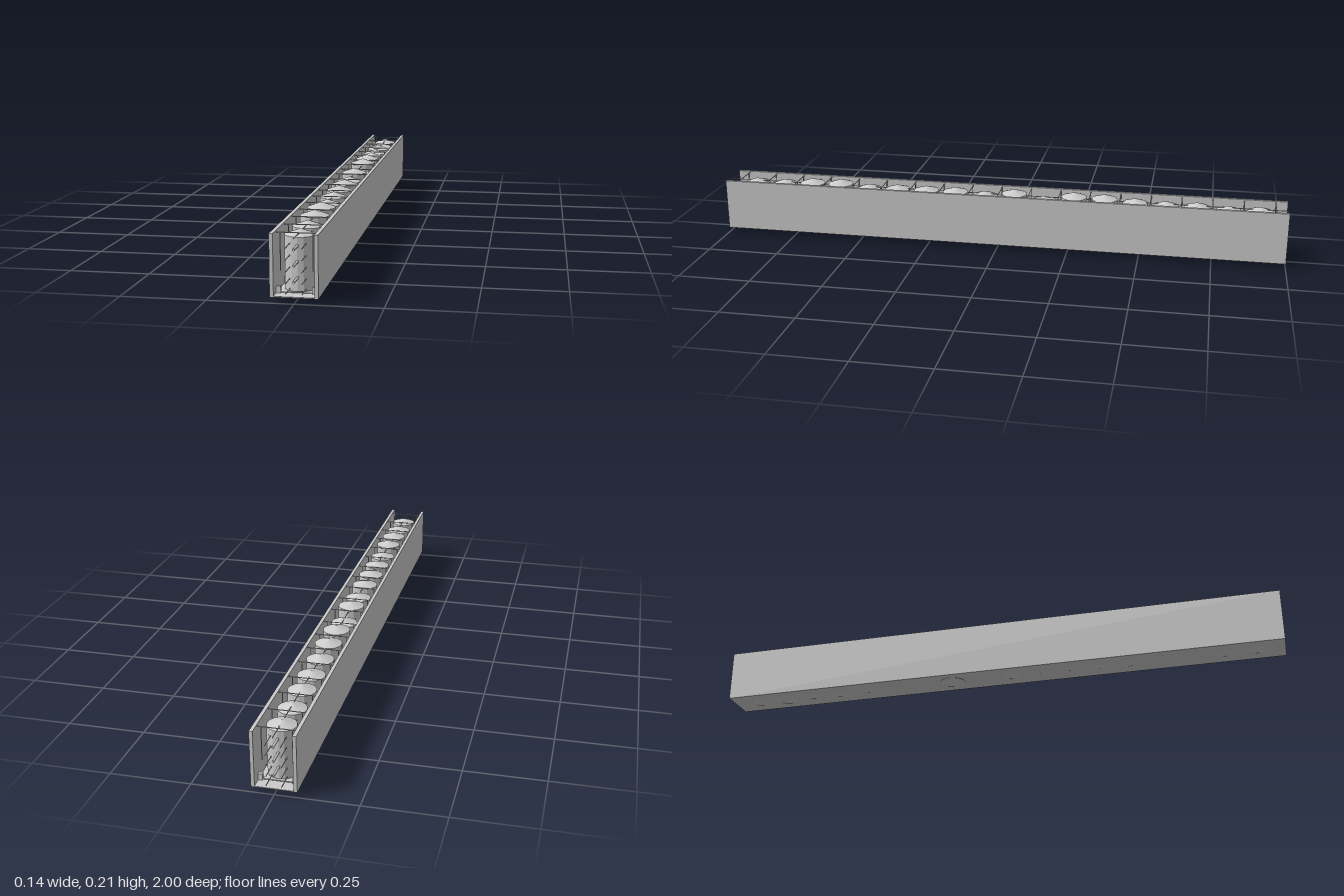
import * as THREE from 'three';

export function createModel() {
  const model = new THREE.Group();
  const mat = new THREE.MeshStandardMaterial({ color: 0xcccccc });
  const flat = new THREE.MeshStandardMaterial({ color: 0xcccccc, flatShading: true });

  function add(name, geometry, x, y, z, material = mat, parent = model) {
    const mesh = new THREE.Mesh(geometry, material);
    mesh.name = name;
    mesh.position.set(x, y, z);
    parent.add(mesh);
    return mesh;
  }

  // Open-ended trough: two side panels and a thin floor
  for (const s of [-1, 1]) {
    add(s > 0 ? 'leftPanel' : 'rightPanel', new THREE.BoxGeometry(0.011, 0.18, 2), s * 0.063, 0.107, 0);
  }
  add('floorPanel', new THREE.BoxGeometry(0.116, 0.003, 2), 0, 0.0185, 0);

  // Row of void drums with conical ends, standing at slightly different heights
  const bottoms = [0.006, 0.007, 0.016, 0.019, 0.007, 0.011, 0.013, 0.014, 0.006,
    0.019, 0, 0.02, 0.019, 0.011, 0.007, 0.009, 0.003, 0.006];
  const length = 0.187, cone = 0.016, radius = 0.045, pitch = 0.1065;
  const profile = [[0, 0], [radius, cone], [radius, length - cone], [0, length]]
    .map(([r, y]) => new THREE.Vector2(r, y));
  const drum = new THREE.LatheGeometry(profile, 16);
  const drums = new THREE.Group();
  drums.name = 'voidDrums';
  model.add(drums);
  bottoms.forEach((y, i) => add('drum', drum, 0, y, 0.905 - i * pitch, flat, drums));

  // Reinforcement cage
  const cage = new THREE.Group();
  cage.name = 'reinforcementCage';
  model.add(cage);

  function bar(name, r, len, axis, x, y, z) {
    const g = new THREE.CylinderGeometry(r, r, len, 8);
    if (axis === 'x') g.rotateZ(Math.PI / 2);
    if (axis === 'z') g.rotateX(Math.PI / 2);
    add(name, g, x, y, z, mat, cage);
  }

  // Lengthwise bars: three thick on the centre line, thin wires either side
  for (const y of [0.062, 0.108, 0.153]) bar('centreBar', 0.004, 2, 'z', 0, y, 0);
  for (const y of [0.028, 0.057, 0.09, 0.124, 0.157]) {
    for (const s of [-1, 1]) bar('sideWire', 0.0015, 2, 'z', s * 0.023, y, 0);
  }
  bar('topWire', 0.0015, 2, 'z', 0, 0.184, 0);

  // Cross ties and hanging legs in the gaps between drums, with low corner spacers
  const spacer = new THREE.BoxGeometry(0.013, 0.02, 0.012);
  for (let i = 0; i <= bottoms.length; i++) {
    const z = 0.905 + pitch / 2 - i * pitch;
    bar('topTie', 0.0015, 0.116, 'x', 0, 0.192, z);
    bar('bottomTie', 0.0015, 0.116, 'x', 0, 0.022, z);
    for (const s of [-1, 1]) {
      bar('tieLeg', 0.0015, 0.108, 'y', s * 0.046, 0.138, z);
      add('cornerSpacer', spacer, s * 0.051, 0.03, z, mat, cage);
    }
  }
  return model;
}
